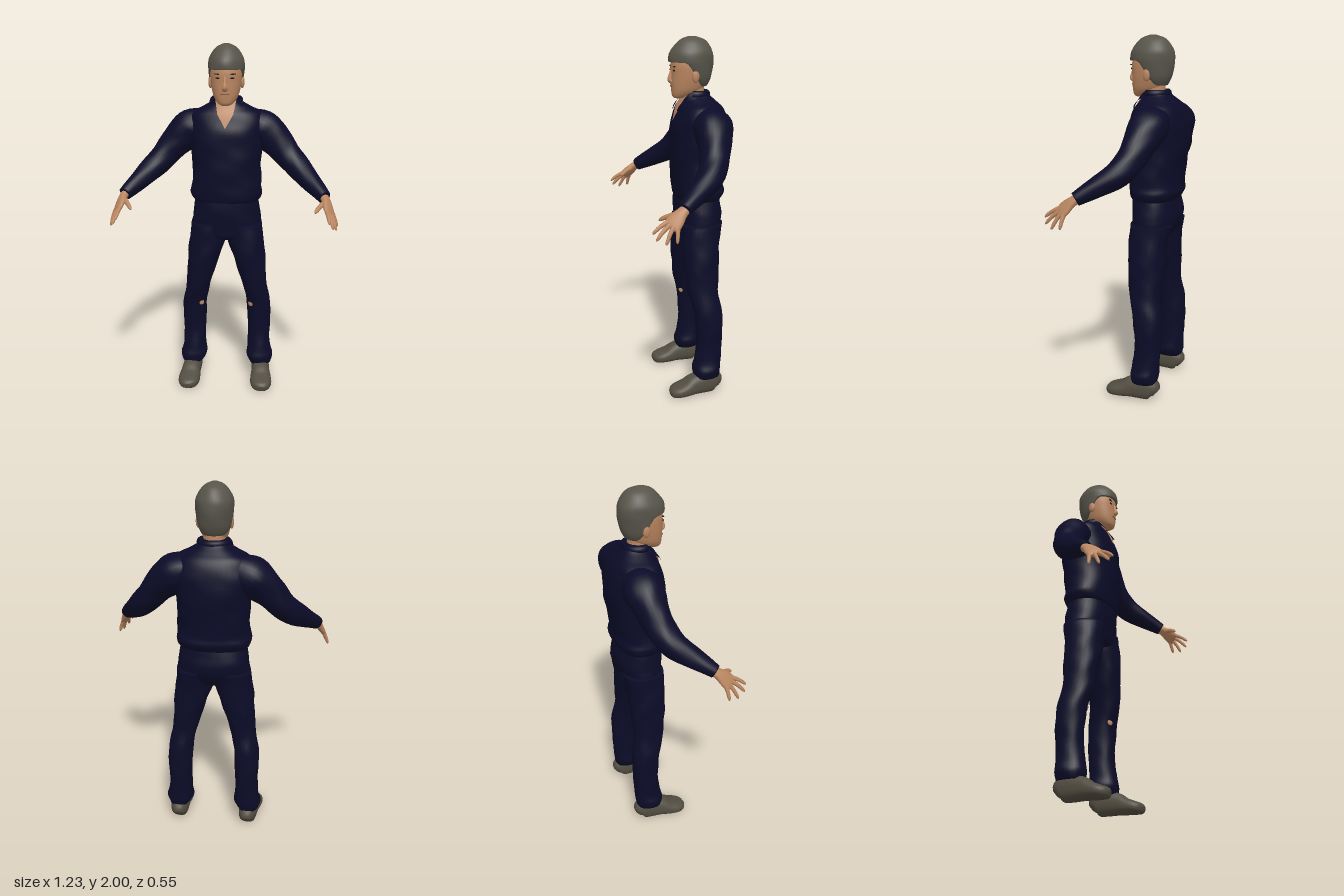
import * as THREE from 'three';

const mat = (name, color, side = THREE.FrontSide) => {
  const m = new THREE.MeshStandardMaterial({ color, side });
  m.name = name;
  return m;
};
const V = (x, y, z) => new THREE.Vector3(x, y, z);

// Smoothly resample rows of numbers (Catmull-Rom), k steps per span
function resample(rows, k = 4) {
  const out = [], n = rows.length;
  for (let i = 0; i < n - 1; i++) {
    const [a, b, c, d] = [rows[Math.max(i - 1, 0)], rows[i], rows[i + 1], rows[Math.min(i + 2, n - 1)]];
    for (let j = 0; j < k; j++) {
      const t = j / k;
      out.push(b.map((_, q) => b[q] + 0.5 * t * (c[q] - a[q]
        + t * (2 * a[q] - 5 * b[q] + 4 * c[q] - d[q] + t * (3 * (b[q] - c[q]) + d[q] - a[q])))));
    }
  }
  out.push(rows[n - 1]);
  return out;
}

// Closed skin over rings {c, u, v}; p squares the ring off, fold adds cloth folds
function skinRings(rings, { n = 28, p = 2, fold = 0, rule } = {}) {
  const pos = [], idx = [], pw = (a) => Math.sign(a) * Math.abs(a) ** (2 / p);
  const put = (q) => { if (rule) rule(q); pos.push(q.x, q.y, q.z); };
  rings.forEach(({ c, u, v }) => {
    for (let i = 0; i < n; i++) {
      const a = (i / n) * Math.PI * 2;
      const f = 1 + fold * Math.sin(3 * a + 31 * c.y + 17 * c.x) + fold * 0.7 * Math.sin(5 * a - 53 * c.y);
      put(c.clone().addScaledVector(u, pw(Math.cos(a)) * f).addScaledVector(v, pw(Math.sin(a)) * f));
    }
  });
  const m = rings.length, top = (m - 1) * n;
  put(rings[0].c.clone());
  put(rings[m - 1].c.clone());
  for (let i = 0; i < n; i++) {
    const j = (i + 1) % n;
    for (let r = 0; r < m - 1; r++) {
      const a = r * n + i, b = r * n + j;
      idx.push(a, a + n, b, b, a + n, b + n);
    }
    idx.push(m * n, i, j, m * n + 1, top + j, top + i);
  }
  const g = new THREE.BufferGeometry();
  g.setAttribute('position', new THREE.Float32BufferAttribute(pos, 3));
  g.setIndex(idx);
  g.computeVertexNormals();
  return g;
}

// Upright loft, rows [y, x0, x1, front, back] from bottom to top
const loft = (rows, opt) => skinRings(rows.map(([y, x0, x1, f, b]) => ({
  c: V((x0 + x1) / 2, y, (f + b) / 2), u: V((x1 - x0) / 2, 0, 0), v: V(0, 0, (f - b) / 2),
})), opt);
// Symmetric rows [y, halfWidth, front, back]
const even = (rows) => resample(rows.map(([y, r, f, b]) => [y, -r, r, f, b]));

// Limb along a path, rows [x, y, z, ru, rv], rv measured along the across direction
function limb(rows, across, s, opt) {
  const rs = resample(rows).map(([x, ...r]) => [x * s, ...r]);
  const at = (i) => V(...rs[Math.min(Math.max(i, 0), rs.length - 1)].slice(0, 3));
  return skinRings(rs.map((r, i) => {
    const t = at(i + 1).sub(at(i - 1)).normalize();
    const v = across.clone().addScaledVector(t, -across.dot(t)).normalize();
    const u = t.clone().cross(v);
    return { c: at(i), u: u.multiplyScalar(r[3]), v: v.multiplyScalar(r[4]) };
  }), opt);
}

// Front surface depth of an upright loft
function frontZ(rows, x, y, p = 2) {
  let i = rows.findIndex((r) => r[0] > y);
  if (i < 1) i = i < 0 ? rows.length - 1 : 1;
  const a = rows[i - 1], b = rows[i], t = Math.min(1, (y - a[0]) / (b[0] - a[0]));
  const [, x0, x1, f, k] = a.map((q, j) => q + (b[j] - q) * t);
  const e = Math.min(0.98, Math.abs((x - (x0 + x1) / 2) / ((x1 - x0) / 2)));
  return (f + k) / 2 + ((f - k) / 2) * (1 - e ** p) ** (1 / p);
}

// Thin sheet lying on a loft between two edges
function drape(rows, y0, y1, left, right, lift, p) {
  const g = new THREE.PlaneGeometry(1, 1, 8, 12), a = g.attributes.position;
  for (let i = 0; i < a.count; i++) {
    const t = a.getY(i) + 0.5, y = y0 + (y1 - y0) * t;
    const x = left(t) + (right(t) - left(t)) * (a.getX(i) + 0.5);
    a.setXYZ(i, x, y, frontZ(rows, x, y, p) + lift);
  }
  g.computeVertexNormals();
  return g;
}

export function createModel() {
  const root = new THREE.Group();
  root.name = 'standingMan';
  const cloth = mat('navyCloth', 0x0b0b28, THREE.DoubleSide), skin = mat('skin', 0xba8660, THREE.DoubleSide);
  const hairM = mat('greyHair', 0x57544a), shoeM = mat('shoeLeather', 0x524d41);
  const dark = mat('eyeDark', 0x1c1512), lip = mat('lip', 0x98624c);
  const add = (name, geo, m) => {
    const o = new THREE.Mesh(geo, m);
    o.name = name;
    root.add(o);
    return o;
  };
  const blob = (name, m, at, size) => {
    const o = add(name, new THREE.SphereGeometry(1, 16, 12), m);
    o.position.set(...at);
    o.scale.set(...size);
    return o;
  };

  // Shirt with bloused hem
  const torso = even([
    [1.125, 0.17, 0.0, -0.22], [1.14, 0.192, 0.015, -0.237], [1.175, 0.205, 0.022, -0.252],
    [1.22, 0.198, 0.026, -0.247], [1.32, 0.194, 0.03, -0.26], [1.42, 0.2, 0.032, -0.274],
    [1.52, 0.213, 0.028, -0.275], [1.58, 0.213, 0.012, -0.262], [1.63, 0.19, -0.006, -0.24],
    [1.66, 0.135, -0.024, -0.212], [1.69, 0.085, -0.036, -0.182], [1.715, 0.068, -0.05, -0.165],
  ]);
  add('shirt', loft(torso, { n: 40, p: 2.3, fold: 0.012 }), cloth);

  // Open neckline and collar
  const vee = (t) => 0.058 * Math.min(1, t * 1.45);
  add('openNeckline', drape(torso, 1.555, 1.7, (t) => -vee(t), vee, 0.006, 2.3), skin);
  for (const s of [1, -1]) {
    const inner = (t) => s * (0.04 + 0.018 * t), outer = (t) => s * (0.055 + 0.075 * t * (1.45 - t));
    const [l, r] = s > 0 ? [inner, outer] : [outer, inner];
    add('collarFlap', drape(torso, 1.615, 1.705, l, r, 0.014, 2.3), cloth);
  }
  const collar = add('collarBack', new THREE.TorusGeometry(0.074, 0.017, 10, 28, Math.PI * 1.3)
    .rotateZ(-Math.PI * 0.15).rotateX(-Math.PI / 2).scale(1, 1.3, 0.9), cloth);
  collar.position.set(0, 1.697, -0.1);

  // Seat of the trousers
  add('trouserSeat', loft(even([
    [0.9, 0.06, -0.05, -0.15], [0.92, 0.12, -0.01, -0.19], [0.97, 0.195, 0.0, -0.225],
    [1.04, 0.195, 0.01, -0.243], [1.1, 0.187, 0.012, -0.235], [1.15, 0.178, 0.01, -0.225],
  ]), { n: 36, p: 2.3, fold: 0.008 }), cloth);

  // Neck and head
  add('neck', loft(even([
    [1.62, 0.066, -0.03, -0.16], [1.67, 0.06, -0.03, -0.155], [1.72, 0.058, -0.025, -0.15], [1.77, 0.06, -0.03, -0.15],
  ])), skin);
  const head = even([
    [1.678, 0.022, 0.015, -0.03], [1.69, 0.043, 0.026, -0.07], [1.72, 0.065, 0.031, -0.13],
    [1.76, 0.077, 0.033, -0.158], [1.8, 0.084, 0.033, -0.172], [1.85, 0.087, 0.034, -0.178], [1.9, 0.08, 0.024, -0.17],
  ]);
  add('head', loft(head, { n: 32, p: 2.2 }), skin);
  add('nose', limb([[0, 1.765, 0.03, 0.012, 0.016], [0, 1.775, 0.042, 0.012, 0.015],
    [0, 1.8, 0.036, 0.011, 0.01], [0, 1.835, 0.027, 0.008, 0.007]], V(1, 0, 0), 1, { n: 12 }), skin);
  const onFace = (name, m, x, y, size) => blob(name, m, [x, y, frontZ(head, x, y, 2.2)], size);
  onFace('mouth', lip, 0, 1.743, [0.026, 0.006, 0.004]);
  for (const s of [1, -1]) {
    onFace('eye', dark, s * 0.037, 1.826, [0.014, 0.005, 0.004]);
    onFace('eyebrow', dark, s * 0.039, 1.846, [0.021, 0.0035, 0.005]).rotation.z = s * 0.08;
    blob('ear', skin, [s * 0.087, 1.797, -0.078], [0.012, 0.034, 0.02]);
  }

  // Hair cap: high over the brow, low at the nape
  const hairline = (z) => 1.74 + 0.128 * THREE.MathUtils.smoothstep(z, -0.13, -0.02);
  add('hair', loft(even([
    [1.735, 0.066, 0.0, -0.16], [1.78, 0.088, 0.03, -0.183], [1.84, 0.096, 0.04, -0.196],
    [1.88, 0.099, 0.046, -0.2], [1.92, 0.095, 0.037, -0.195], [1.96, 0.073, 0.008, -0.172],
    [1.985, 0.048, -0.02, -0.145], [2.0, 0.014, -0.06, -0.1],
  ]), { n: 36, fold: 0.01, rule: (q) => { q.y = Math.max(q.y, hairline(q.z)); } }), hairM);

  for (const s of [1, -1]) {
    // Trouser leg, rows [y, inner, outer, front, back]
    const leg = resample([
      [0.105, 0.145, 0.268, -0.045, -0.192], [0.15, 0.122, 0.28, -0.04, -0.2], [0.2, 0.128, 0.266, -0.05, -0.203],
      [0.3, 0.13, 0.26, -0.062, -0.208], [0.4, 0.125, 0.264, -0.06, -0.212], [0.5, 0.12, 0.26, -0.047, -0.208],
      [0.6, 0.1, 0.24, -0.022, -0.192], [0.7, 0.07, 0.232, -0.01, -0.196], [0.8, 0.038, 0.226, 0, -0.204],
      [0.9, 0.004, 0.216, 0.002, -0.208], [1.0, 0.004, 0.202, 0.0, -0.23],
    ]).map(([y, a, b, f, k]) => (s > 0 ? [y, a, b, f, k] : [y, -b, -a, f, k]));
    add('trouserLeg', loft(leg, { p: 2.2, fold: 0.018 }), cloth);
    // Worn spot on the knee
    blob('kneeTear', skin, [s * 0.145, 0.5, frontZ(leg, s * 0.145, 0.5, 2.2)], [0.016, 0.016, 0.005]).rotation.y = -s * 0.6;

    // Shoe
    add('shoe', limb([
      [0.205, 0.045, -0.192, 0.028, 0.025], [0.205, 0.06, -0.17, 0.06, 0.046], [0.207, 0.068, -0.12, 0.068, 0.053],
      [0.211, 0.06, -0.05, 0.06, 0.055], [0.214, 0.045, 0, 0.045, 0.062], [0.217, 0.035, 0.05, 0.035, 0.062],
      [0.219, 0.028, 0.085, 0.028, 0.046], [0.219, 0.025, 0.101, 0.014, 0.02],
    ], V(1, 0, 0), s, { p: 2.4, rule: (q) => { q.y = Math.max(q.y, 0); } }), shoeM);

    // Sleeve
    add('sleeve', limb([
      [0.12, 1.57, -0.14, 0.08, 0.09], [0.195, 1.54, -0.14, 0.102, 0.106], [0.245, 1.5, -0.132, 0.1, 0.096],
      [0.295, 1.45, -0.12, 0.086, 0.084], [0.35, 1.385, -0.1, 0.075, 0.076], [0.41, 1.325, -0.06, 0.068, 0.07],
      [0.47, 1.27, 0.015, 0.055, 0.056], [0.52, 1.228, 0.08, 0.043, 0.042], [0.543, 1.207, 0.112, 0.037, 0.035],
    ], V(0, 0, 1), s, { fold: 0.02 }), cloth);

    // Hand: flat palm, four fingers and a thumb
    const across = V(s * 0.045, -0.025, -0.065);
    add('palm', limb([
      [0.535, 1.215, 0.095, 0.023, 0.026], [0.55, 1.195, 0.125, 0.021, 0.03], [0.56, 1.168, 0.155, 0.018, 0.042],
      [0.57, 1.14, 0.18, 0.014, 0.044], [0.574, 1.13, 0.19, 0.007, 0.036],
    ], across, s, { n: 18, p: 2.3 }), skin);
    const fingers = [
      [[0.553, 1.152, 0.205], [0.565, 1.105, 0.275]], [[0.565, 1.143, 0.192], [0.585, 1.075, 0.262]],
      [[0.577, 1.135, 0.176], [0.605, 1.056, 0.218]], [[0.587, 1.13, 0.155], [0.613, 1.062, 0.165]],
      [[0.54, 1.185, 0.15], [0.49, 1.15, 0.225]],
    ];
    fingers.forEach(([a, b], i) => {
      const r = i === 4 ? 0.013 : 0.0105;
      const row = (t, k, bend) => [...a.map((q, j) => q + (b[j] - q) * t + (j === 1 ? bend : 0)), r * k, r * k];
      add(i === 4 ? 'thumb' : 'finger', limb([row(-0.25, 1, 0), row(0.1, 1.1, 0.002), row(0.5, 0.95, 0.006),
        row(0.85, 0.8, 0.003), row(1, 0.3, 0)], across, s, { n: 10 }), skin);
    });
  }
  return root;
}
